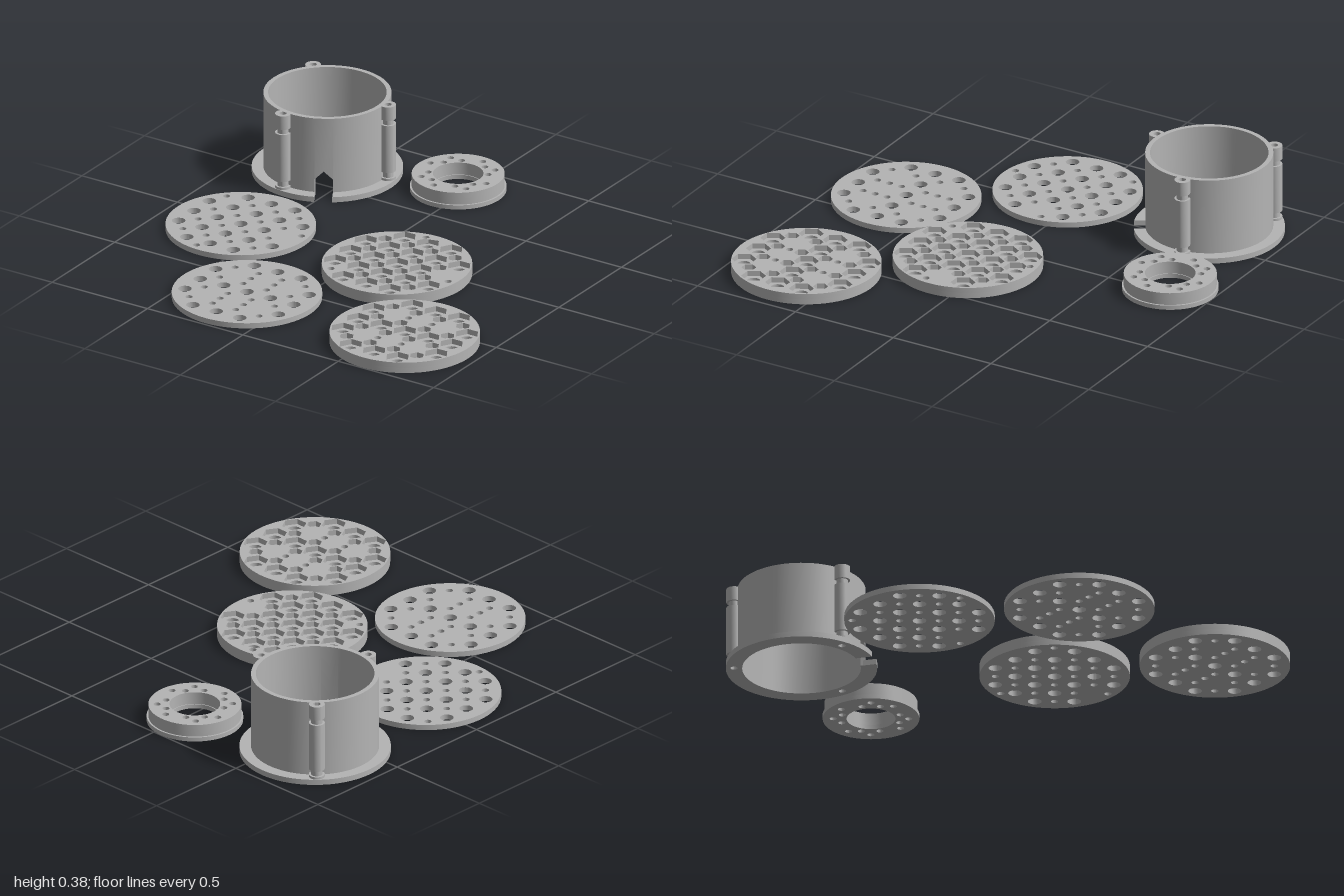
import * as THREE from 'three';
import { toCreasedNormals } from 'three/addons/utils/BufferGeometryUtils.js';

const grey = new THREE.MeshStandardMaterial({ color: 0xb4b4b4 });
grey.name = 'grey plastic';

const PITCH = 0.1225; // spacing of the large holes
const DISC_R = 0.33;
const LUG_R = 0.295;
const LUG_ANGLES = [-7.5, 98, 224.5].map(THREE.MathUtils.degToRad);
const lugPoints = LUG_ANGLES.map(a => [LUG_R * Math.cos(a), LUG_R * Math.sin(a)]);

// Polygon path; shape x,y map to world x,z
function ring(Type, x, y, r, n) {
  const pts = [];
  for (let i = 0; i < n; i++) {
    const a = i / n * Math.PI * 2;
    pts.push(new THREE.Vector2(x + r * Math.cos(a), y + r * Math.sin(a)));
  }
  return new Type(pts);
}
const circle = (r, n = 96) => ring(THREE.Shape, 0, 0, r, n);
const hole = (x, y, r, n = 24) => ring(THREE.Path, x, y, r, n);

// Flat slab lying between y0 and y1
function slab(name, shape, holes, y0, y1) {
  shape.holes.push(...holes);
  const g = new THREE.ExtrudeGeometry(shape, { depth: y1 - y0, bevelEnabled: false });
  g.rotateX(Math.PI / 2).translate(0, y1, 0);
  const mesh = new THREE.Mesh(toCreasedNormals(g, 0.5), grey);
  mesh.name = name;
  return mesh;
}

function group(name, x, z, ...parts) {
  const g = new THREE.Group();
  g.name = name;
  g.position.set(x, 0, z);
  g.add(...parts);
  return g;
}

// Perforation grids: large holes, small holes that take a nut, plain holes
function fullGrid(flip) {
  const big = [], small = [];
  for (let i = -2; i <= 2; i++) for (let j = -2; j <= 2; j++) {
    if (Math.abs(i) === 2 && Math.abs(j) === 2) continue;
    if (i === 2 && j === 0) continue; // room for the screw hole
    big.push([i * PITCH, j * PITCH]);
  }
  for (let i = -1.5; i < 2; i++) for (let j = -1.5; j < 2; j++) {
    if (i === -1.5 && j === -1.5) continue; // room for the screw hole
    small.push([i * PITCH, j * PITCH * flip]);
  }
  return { big, small, plain: lugPoints.map(([x, z]) => [x, z * flip]) };
}
function sparseGrid() {
  const big = [], small = [], plain = [];
  for (let i = -2; i <= 2; i++) {
    big.push([i * PITCH, 0]);
    for (const s of [-1, 1]) big.push([i * PITCH, s * PITCH * (Math.abs(i) === 2 ? 1 : 2)]);
  }
  for (let i = -1.5; i < 2; i++) {
    for (let j = -1.5; j < 2; j++) small.push([i * PITCH, j * PITCH]);
    if (Math.abs(i) < 1) plain.push([i * PITCH, PITCH], [i * PITCH, -PITCH]);
  }
  return { big, small, plain };
}

const plainHoles = grid => grid.plain.map(([x, z]) => hole(x, z, 0.016));
const roundHoles = grid => [
  ...grid.big.map(([x, z]) => hole(x, z, 0.03)),
  ...grid.small.map(([x, z]) => hole(x, z, 0.016)),
  ...plainHoles(grid)];
const hexHoles = grid => [
  ...grid.big.map(([x, z]) => hole(x, z, 0.055, 6)),
  ...grid.small.map(([x, z]) => hole(x, z, 0.033, 6)),
  ...plainHoles(grid)];

const flatDisc = (name, x, z, grid) => group(name, x, z,
  slab('perforatedPlate', circle(DISC_R), roundHoles(grid), 0, 0.025));
const nutDisc = (name, x, z, grid) => group(name, x, z,
  slab('perforatedPlate', circle(DISC_R), roundHoles(grid), 0, 0.025),
  slab('nutPocketPlate', circle(DISC_R), hexHoles(grid), 0.025, 0.05));

// Round wall whose lower edge rises into a pointed doorway
const DOOR = Math.PI / 3, HALF = 0.04, RI = 0.26, RO = 0.281;
function wallGeometry() {
  const half = HALF / 0.27, top = 0.38, n = 96;
  const sections = [[-half, 0.085], [0, 0.125], [half, 0.085]];
  for (let i = 0; i <= n; i++) sections.push([half + (Math.PI * 2 - 2 * half) * i / n, 0]);
  sections.push([Math.PI * 2 - half, 0.085]);
  const pos = [], idx = [];
  for (const [a, low] of sections) {
    const c = Math.cos(a + DOOR), s = Math.sin(a + DOOR);
    for (const [r, y] of [[RI, low], [RO, low], [RO, top], [RI, top]]) pos.push(r * c, y, r * s);
  }
  for (let i = 0; i < sections.length - 1; i++) for (let k = 0; k < 4; k++) {
    const a = i * 4 + k, b = i * 4 + (k + 1) % 4;
    idx.push(a, b, a + 4, b, b + 4, a + 4);
  }
  const g = new THREE.BufferGeometry();
  g.setAttribute('position', new THREE.Float32BufferAttribute(pos, 3));
  g.setIndex(idx);
  return toCreasedNormals(g.toNonIndexed(), 0.5);
}

// Base flange, cut through at the doorway with parallel sides
function flange() {
  const pts = [], n = 96;
  for (const [r, dir] of [[0.332, 1], [RI, -1]]) {
    const gap = Math.asin(HALF / r);
    for (let i = 0; i <= n; i++) {
      const t = dir > 0 ? i / n : 1 - i / n;
      const a = DOOR + gap + (Math.PI * 2 - 2 * gap) * t;
      pts.push(new THREE.Vector2(r * Math.cos(a), r * Math.sin(a)));
    }
  }
  return slab('baseFlange', new THREE.Shape(pts),
    lugPoints.map(([x, z]) => hole(x, z, 0.016)), 0, 0.025);
}

// Screw column with two narrow grooves
function column([x, z]) {
  const levels = [0.025, 0.036, 0.063, 0.29, 0.315, 0.38];
  const parts = [];
  for (let i = 0; i < 5; i++) {
    const r = i % 2 ? 0.025 : 0.035;
    parts.push(slab(i % 2 ? 'columnGroove' : 'columnSection', circle(r, 32),
      [hole(0, 0, 0.016)], levels[i], levels[i + 1]));
  }
  return group('screwColumn', x, z, ...parts);
}

function housing() {
  const wall = new THREE.Mesh(wallGeometry(), grey);
  wall.name = 'roundWall';
  return group('housing', -0.63, -0.635, wall, flange(), ...lugPoints.map(column));
}

// Small collar with a stepped edge and drilled face
function collar() {
  const pts = [];
  for (let i = 0; i < 4; i++) {
    const a = i * Math.PI / 2 + 0.14;
    pts.push([0.163 * Math.cos(a), 0.163 * Math.sin(a)]);
  }
  for (const sx of [-1, 1]) for (const sz of [-1, 1])
    pts.push([sx * 0.117, sz * 0.061], [sx * 0.061, sz * 0.12], [sx * 0.117, sz * 0.117]);
  const holes = bore => [hole(0, 0, bore, 64), ...pts.map(([x, z]) => hole(x, z, 0.0155))];
  return group('collar', -0.045, -0.788,
    slab('collarFoot', circle(0.212), holes(0.107), 0, 0.02),
    slab('collarBody', circle(0.204), holes(0.111), 0.02, 0.077));
}

export function createModel() {
  const model = new THREE.Group();
  model.name = 'perforatedDiscKit';
  model.add(
    housing(),
    collar(),
    flatDisc('flatDiscWithScrewHoles', -0.615, 0.08, fullGrid(1)),
    nutDisc('nutDiscWithScrewHoles', 0.212, 0.092, fullGrid(-1)),
    flatDisc('flatDisc', -0.203, 0.658, sparseGrid()),
    nutDisc('nutDisc', 0.63, 0.667, sparseGrid()));
  return model;
}
